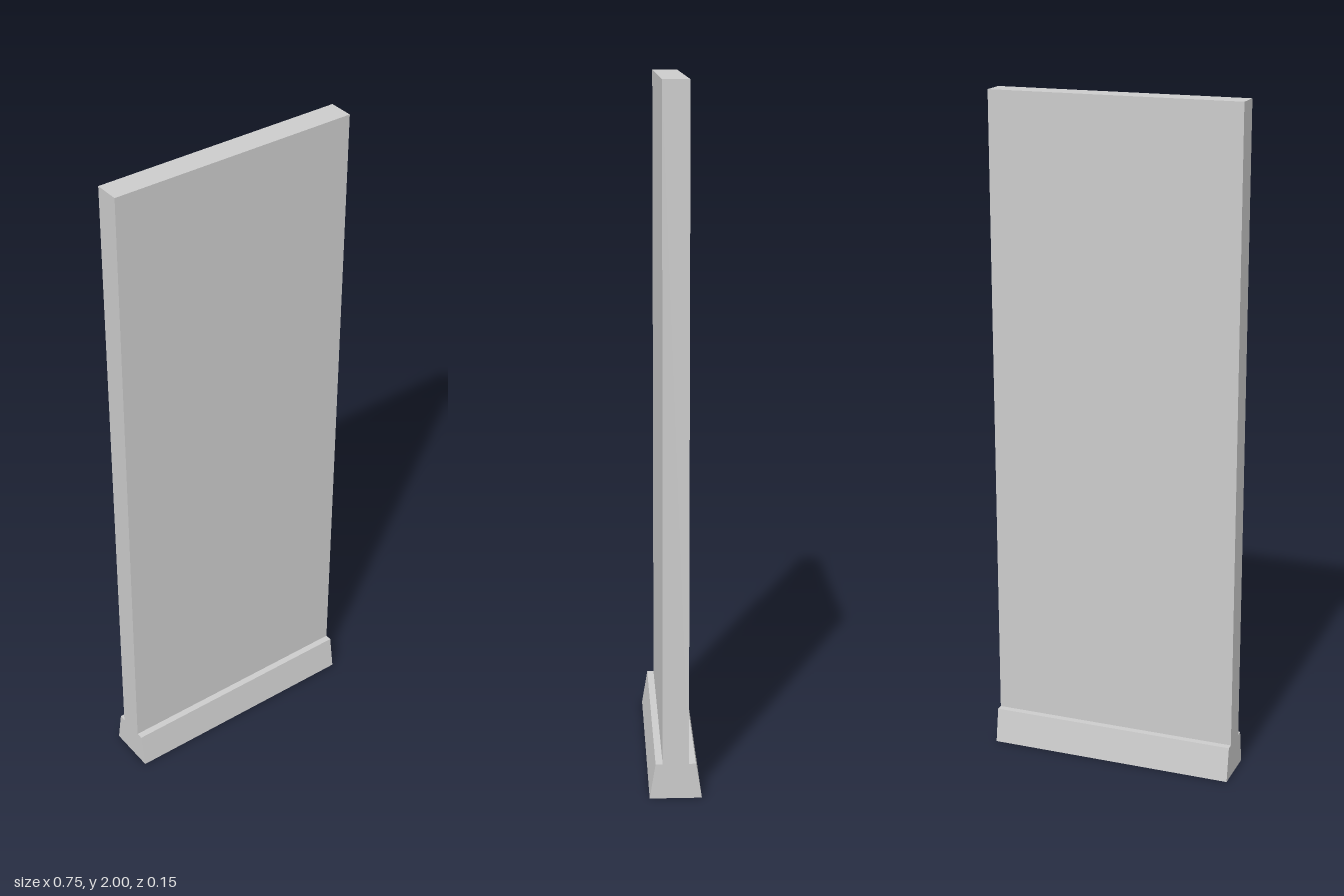
import * as THREE from 'three';

const WIDTH = 0.747;

export function createModel() {
  const group = new THREE.Group();
  group.name = 'standingPanel';

  // Half of the end profile (depth, height): tapered foot, ledge, upright slab
  const half = [[0.074, 0], [0.057, 0.103], [0.037, 0.103], [0.037, 2]];
  const mirrored = half.map(([d, h]) => [-d, h]).reverse();
  const profile = new THREE.Shape([...half, ...mirrored].map(([d, h]) => new THREE.Vector2(d, h)));

  // Extrude the profile across the width, centred on x = 0
  const geometry = new THREE.ExtrudeGeometry(profile, { depth: WIDTH, bevelEnabled: false });
  geometry.translate(0, 0, -WIDTH / 2).rotateY(Math.PI / 2);

  const panel = new THREE.Mesh(
    geometry,
    new THREE.MeshStandardMaterial({ color: 0xcccccc, flatShading: true })
  );
  panel.name = 'panelWithFoot';
  group.add(panel);
  return group;
}
